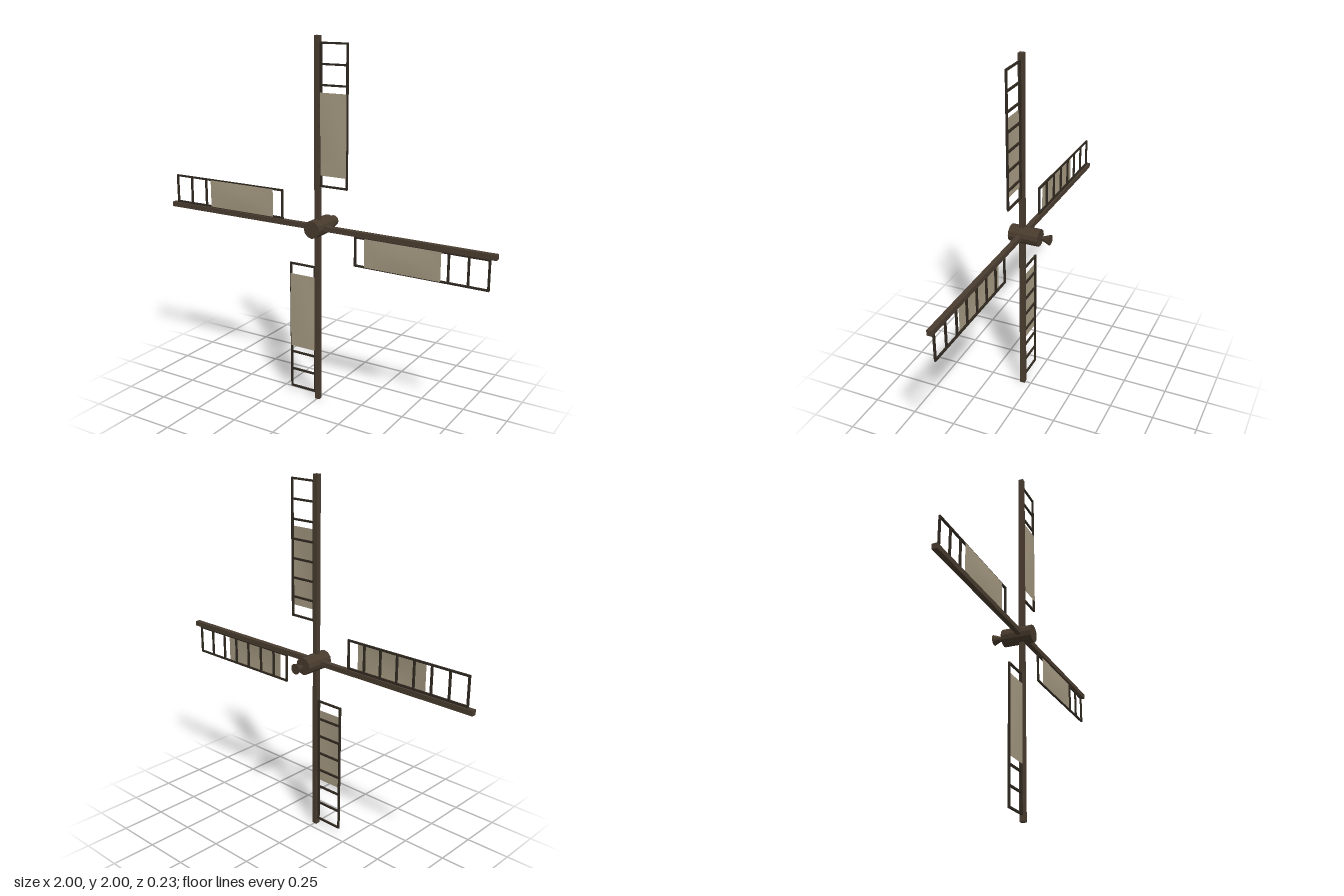
import * as THREE from 'three';

export function createModel() {
  const mat = (name, color, extra = {}) => {
    const m = new THREE.MeshStandardMaterial({ color, ...extra });
    m.name = name;
    return m;
  };
  const darkWood = mat('dark wood', 0x4a3d30);
  const frameWood = mat('frame wood', 0x302920);
  const hubWood = mat('hub wood', 0x483b2d, { flatShading: true });
  const canvas = mat('sail canvas', 0xa79b83, { side: THREE.DoubleSide });

  const model = new THREE.Group();
  model.name = 'windmillRotor';
  const add = (parent, name, geometry, material, x, y, z) => {
    const mesh = new THREE.Mesh(geometry, material);
    mesh.name = name;
    mesh.position.set(x, y, z);
    parent.add(mesh);
    return mesh;
  };

  // Sail cloth: a shallow billowed sheet
  const clothGeometry = new THREE.PlaneGeometry(0.155, 0.43, 6, 12);
  const p = clothGeometry.attributes.position;
  for (let i = 0; i < p.count; i++) {
    const u = p.getX(i) / 0.155 + 0.5;
    const v = p.getY(i) / 0.43 + 0.5;
    p.setZ(i, 0.004 * Math.sin(Math.PI * u) * Math.sin(Math.PI * v));
  }
  clothGeometry.computeVertexNormals();

  // One blade pointing up, with its lattice on the +x side
  const makeBlade = () => {
    const blade = new THREE.Group();
    blade.name = 'blade';
    add(blade, 'spar', new THREE.BoxGeometry(0.028, 1, 0.028), darkWood, 0, 0.5, 0);
    for (const x of [0.02, 0.174]) {
      add(blade, 'frameRail', new THREE.BoxGeometry(0.01, 0.745, 0.01), frameWood, x, 0.595, 0);
    }
    for (let i = 0; i < 8; i++) {
      add(blade, 'rung', new THREE.BoxGeometry(0.17, 0.01, 0.01), frameWood, 0.09, 0.228 + i * 0.105, 0);
    }
    add(blade, 'sailCloth', clothGeometry, canvas, 0.0965, 0.5, 0.007);
    return blade;
  };

  // Four blades around the hub
  for (let i = 0; i < 4; i++) {
    const blade = makeBlade();
    blade.position.set(0, 1, 0.05);
    blade.rotation.z = -i * Math.PI / 2;
    model.add(blade);
  }

  // Hub drum and the flared shaft end behind it
  const hub = add(model, 'hub', new THREE.CylinderGeometry(0.048, 0.048, 0.17, 12), hubWood, 0, 1, 0.03);
  hub.rotation.x = Math.PI / 2;
  const shaft = add(model, 'shaftCone', new THREE.CylinderGeometry(0.007, 0.03, 0.056, 12), hubWood, 0, 1, -0.086);
  shaft.rotation.x = Math.PI / 2;

  return model;
}
